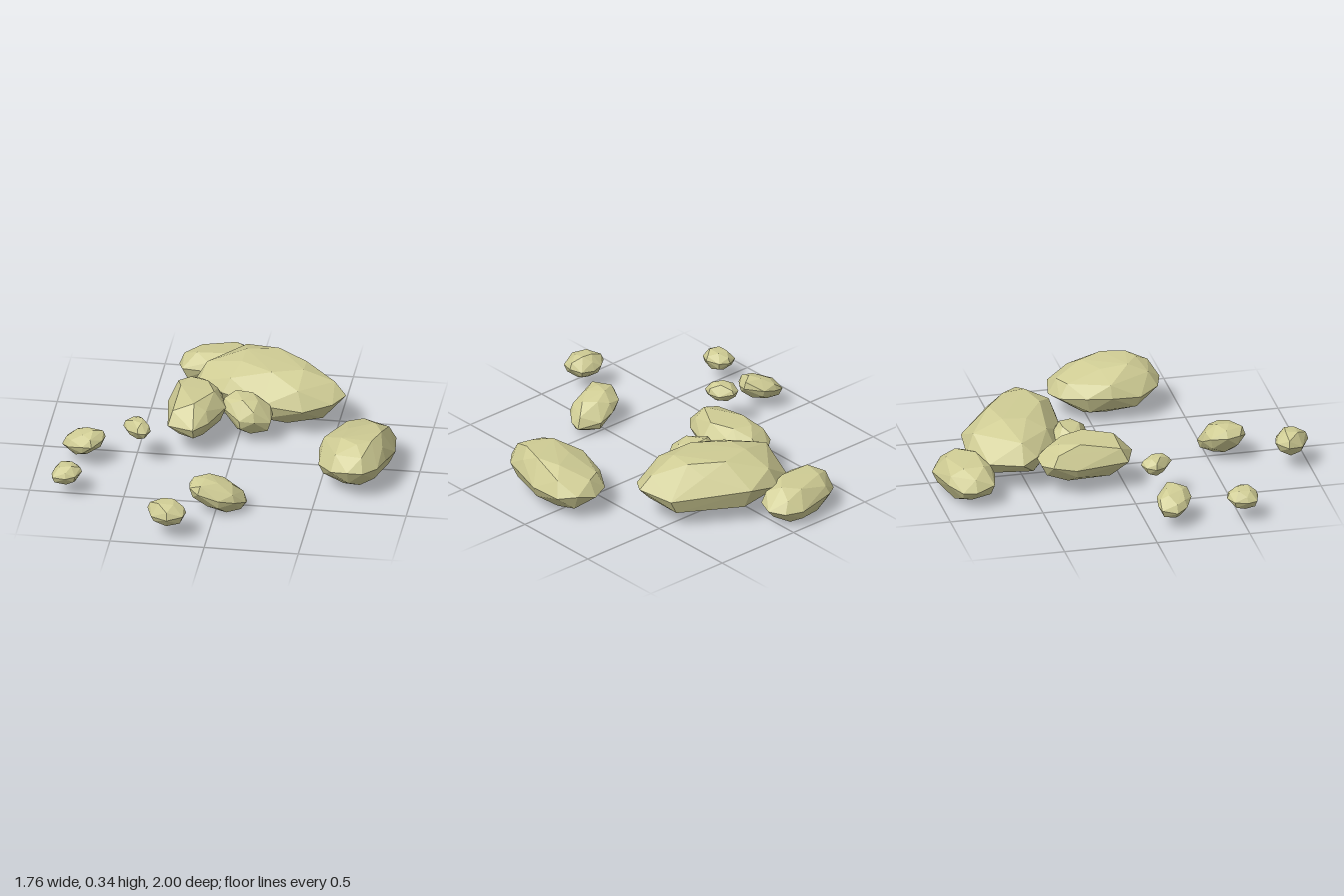
import * as THREE from 'three';
import { ConvexGeometry } from 'three/addons/geometries/ConvexGeometry.js';

// Small seeded noise in -1..1
function noise(seed) {
  let s = seed * 7919 + 17;
  return () => {
    s = (s * 16807) % 2147483647;
    return (s / 2147483647) * 2 - 1;
  };
}

// Faceted boulder: plan outline (x, z pairs), height range, slope along x and z, crest offset
function rockGeometry({ plan, y, slope = [0, 0], crest = [0, 0], cap = 0.48 }, seed) {
  const rnd = noise(seed);
  const n = plan.length;
  const xs = plan.map((p) => p[0]), zs = plan.map((p) => p[1]);
  const cx = (Math.min(...xs) + Math.max(...xs)) / 2;
  const cz = (Math.min(...zs) + Math.max(...zs)) / 2;
  const pts = [];
  const add = ([x, z], s, h, k) => {
    const px = cx + (x - cx) * s + crest[0] * k;
    const pz = cz + (z - cz) * s + crest[1] * k;
    pts.push(new THREE.Vector3(px, h + slope[0] * (px - cx) + slope[1] * (pz - cz), pz));
  };
  for (let i = 0; i < n; i++) {
    add(plan[i], 1, 0.15 * rnd(), 0);                          // widest ring
    const up = i % 2 === 0;
    add(plan[i], 0.85 + 0.04 * rnd(), up ? 0.6 : -0.6, 0);     // shoulders above and below
    add(plan[i], cap + 0.06 * rnd(), (up ? -1 : 1) + 0.06 * rnd(), up ? 0 : 1); // crown and base
  }
  // Fit to the height range
  const lo = Math.min(...pts.map((p) => p.y)), hi = Math.max(...pts.map((p) => p.y));
  for (const p of pts) p.y = y[0] + ((p.y - lo) / (hi - lo)) * (y[1] - y[0]);
  return new ConvexGeometry(pts);
}

const rocks = {
  backRock: {
    plan: [[-0.4, -0.83], [-0.37, -0.9], [-0.29, -0.96], [-0.07, -1], [0.02, -0.96], [0.07, -0.88],
      [0.04, -0.79], [-0.08, -0.72], [-0.24, -0.7], [-0.37, -0.73]],
    y: [0.01, 0.21], slope: [0, 1], cap: 0.6,
  },
  mainBoulder: {
    plan: [[-0.27, -0.55], [-0.2, -0.72], [-0.06, -0.81], [0.12, -0.8], [0.32, -0.64], [0.48, -0.57],
      [0.55, -0.4], [0.49, -0.31], [0.34, -0.24], [0.12, -0.26], [-0.1, -0.35], [-0.24, -0.47]],
    y: [0.03, 0.34], crest: [0.03, 0.02],
  },
  leftLongRock: {
    plan: [[-0.34, 0], [-0.38, -0.29], [-0.36, -0.41], [-0.3, -0.46], [-0.22, -0.47], [-0.13, -0.43],
      [-0.1, -0.35], [-0.06, -0.2], [-0.13, -0.03], [-0.2, 0.05]],
    y: [0.07, 0.285], cap: 0.55,
  },
  tuckedRock: {
    plan: [[-0.09, -0.24], [-0.07, -0.32], [0, -0.35], [0.1, -0.33], [0.18, -0.26], [0.18, -0.18],
      [0.1, -0.13], [0.02, -0.13], [-0.05, -0.18]],
    y: [0.05, 0.26], slope: [-1.5, 0],
  },
  rightBoulder: {
    plan: [[0.68, -0.2], [0.79, -0.18], [0.86, -0.1], [0.88, 0.07], [0.85, 0.22], [0.82, 0.32],
      [0.75, 0.39], [0.67, 0.4], [0.58, 0.37], [0.5, 0.26], [0.48, 0.1], [0.5, -0.03], [0.58, -0.16]],
    y: [0.015, 0.29], slope: [0.3, 0.5], crest: [0.03, 0.03],
  },
  leftPebble: {
    plan: [[-0.88, 0.14], [-0.86, 0.06], [-0.81, 0.05], [-0.73, 0.06], [-0.65, 0.13], [-0.66, 0.18],
      [-0.71, 0.24], [-0.76, 0.24], [-0.84, 0.2]],
    y: [0.05, 0.2], slope: [4, 0],
  },
  smallPebble: {
    plan: [[-0.56, 0.1], [-0.54, 0.05], [-0.49, 0.03], [-0.43, 0.08], [-0.41, 0.14], [-0.43, 0.19],
      [-0.47, 0.2], [-0.53, 0.15]],
    y: [0.16, 0.26],
  },
  frontRock: {
    plan: [[-0.14, 0.58], [-0.1, 0.5], [-0.03, 0.47], [0.06, 0.46], [0.16, 0.53], [0.16, 0.58],
      [0.11, 0.65], [0.03, 0.69], [-0.08, 0.69], [-0.13, 0.65]],
    y: [0, 0.2], slope: [-4, 1.5],
  },
  leftFrontPebble: {
    plan: [[-0.88, 0.52], [-0.87, 0.45], [-0.81, 0.42], [-0.75, 0.44], [-0.72, 0.51], [-0.75, 0.57],
      [-0.8, 0.59], [-0.87, 0.57]],
    y: [0.07, 0.18], slope: [2, 0],
  },
  frontPebble: {
    plan: [[-0.32, 0.87], [-0.26, 0.82], [-0.21, 0.82], [-0.14, 0.84], [-0.11, 0.9], [-0.12, 0.96],
      [-0.2, 1], [-0.29, 0.95]],
    y: [0.08, 0.21],
  },
};

export function createModel() {
  const group = new THREE.Group();
  group.name = 'rocks';
  const stone = new THREE.MeshStandardMaterial({ color: 0xcfcc94, flatShading: true });
  stone.name = 'paleStone';
  Object.entries(rocks).forEach(([name, spec], i) => {
    const mesh = new THREE.Mesh(rockGeometry(spec, i + 1), stone);
    mesh.name = name;
    group.add(mesh);
  });
  return group;
}
